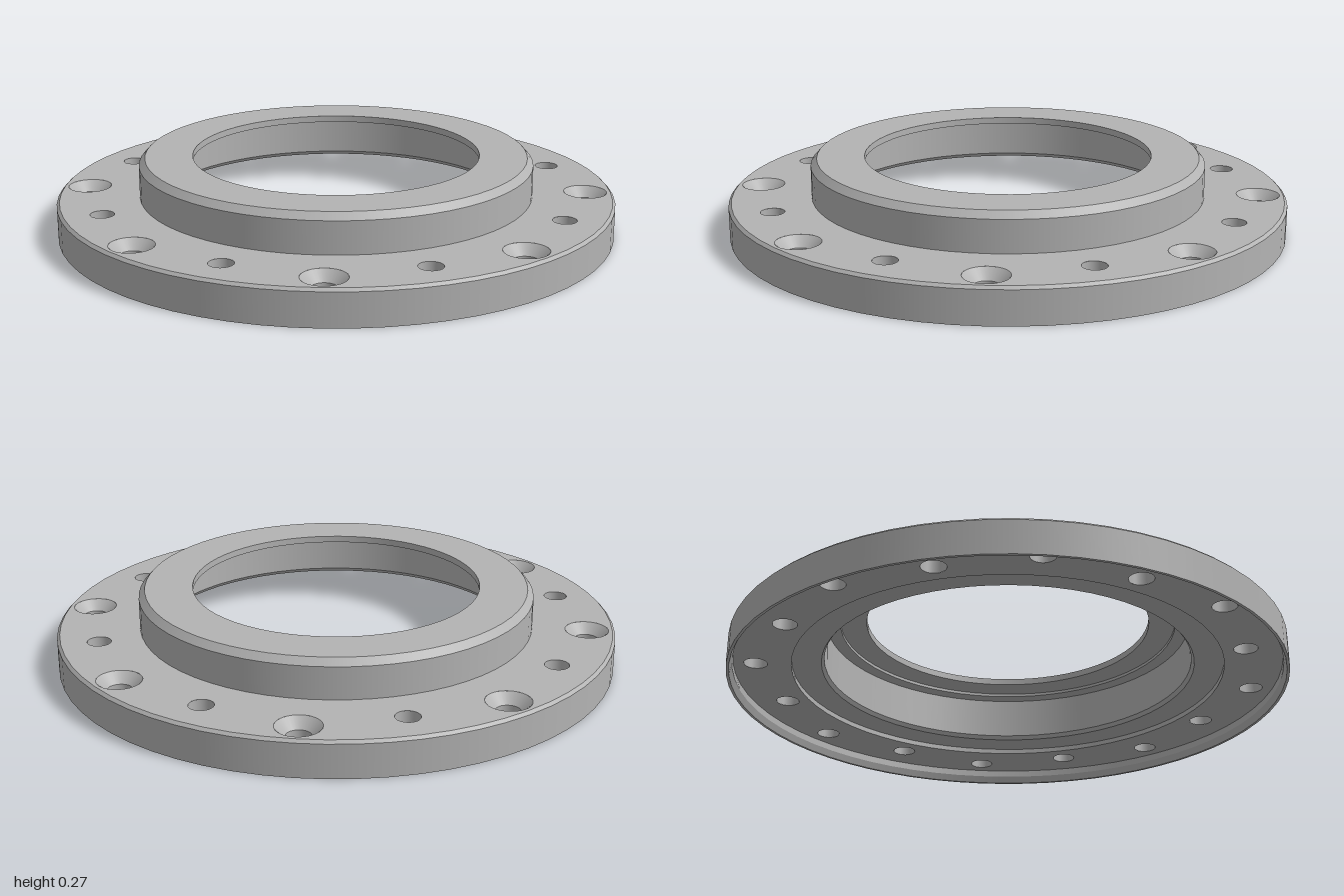
import * as THREE from 'three';
import { mergeGeometries } from 'three/addons/utils/BufferGeometryUtils.js';

const TOP = 0.128;      // flange top
const UNDER = 0.05;     // recessed underside of the bolt ring
const HOLE = 0.042;     // through-hole radius
const SINK = 0.077;     // countersink radius

// Revolved profile of [radius, height] points with a sharp crease at each point.
// Going up gives an outward surface, going down an inward one.
function turned(points, segments) {
  const bands = [];
  for (let i = 0; i + 1 < points.length; i++) {
    const pair = [points[i], points[i + 1]].map(([r, y]) => new THREE.Vector2(r, y));
    bands.push(new THREE.LatheGeometry(pair, segments));
  }
  return mergeGeometries(bands);
}

// Eight holes evenly spaced on a circle, from a start angle measured from +x to +z
function holeRing(radius, startDegrees) {
  return Array.from({ length: 8 }, (_, i) => {
    const a = THREE.MathUtils.degToRad(startDegrees + i * 45);
    return { x: radius * Math.cos(a), z: radius * Math.sin(a) };
  });
}

// Flat ring with round holes, facing up or down
function drilledRing(inner, outer, y, up, holes) {
  const circle = (path, x, v, r) => path.absarc(x, v, r, 0, Math.PI * 2, false);
  const shape = circle(new THREE.Shape(), 0, 0, outer);
  shape.holes.push(circle(new THREE.Path(), 0, 0, inner));
  for (const h of holes) {
    shape.holes.push(circle(new THREE.Path(), h.x, up ? -h.z : h.z, h.r));
  }
  const geometry = new THREE.ShapeGeometry(shape, 32);
  geometry.rotateX(up ? -Math.PI / 2 : Math.PI / 2);
  geometry.translate(0, y, 0);
  return geometry;
}

export function createModel() {
  const group = new THREE.Group();
  group.name = 'flangeRing';
  const metal = new THREE.MeshStandardMaterial({ color: 0xb3b3b3 });
  metal.name = 'greyMetal';

  const add = (name, geometry, x = 0, z = 0) => {
    const mesh = new THREE.Mesh(geometry, metal);
    mesh.name = name;
    mesh.position.set(x, 0, z);
    group.add(mesh);
  };

  const sunk = holeRing(0.9, -11.3);
  const plain = holeRing(0.857, 11.2);

  // Outer rim with its thin downward lip
  add('flangeRim', turned([
    [0.98, UNDER], [0.98, 0.025], [0.99, 0], [1, 0], [1, TOP - 0.01], [0.99, TOP],
  ], 64));

  // Drilled faces of the flange
  add('flangeTop', drilledRing(0.707, 0.99, TOP, true, [
    ...sunk.map((h) => ({ ...h, r: SINK })),
    ...plain.map((h) => ({ ...h, r: HOLE })),
  ]));
  add('flangeUnderside', drilledRing(0.775, 0.98, UNDER, false,
    [...sunk, ...plain].map((h) => ({ ...h, r: HOLE }))));

  // Raised hub with chamfered edge, thin top plate and hollow inside
  add('hub', turned([
    [0.707, TOP], [0.707, 0.243], [0.685, 0.267], [0.515, 0.267],
    [0.515, 0.243], [0.61, 0.243], [0.61, 0.232], [0.66, 0.232],
    [0.66, 0.082], [0.67, 0.068], [0.775, 0.068], [0.775, UNDER],
  ], 64));

  // Hole walls
  const sinkWall = turned([[SINK, TOP], [HOLE, TOP - 0.035], [HOLE, UNDER]], 32);
  const plainWall = turned([[HOLE, TOP], [HOLE, UNDER]], 32);
  for (const h of sunk) add('countersunkHole', sinkWall, h.x, h.z);
  for (const h of plain) add('plainHole', plainWall, h.x, h.z);

  return group;
}
